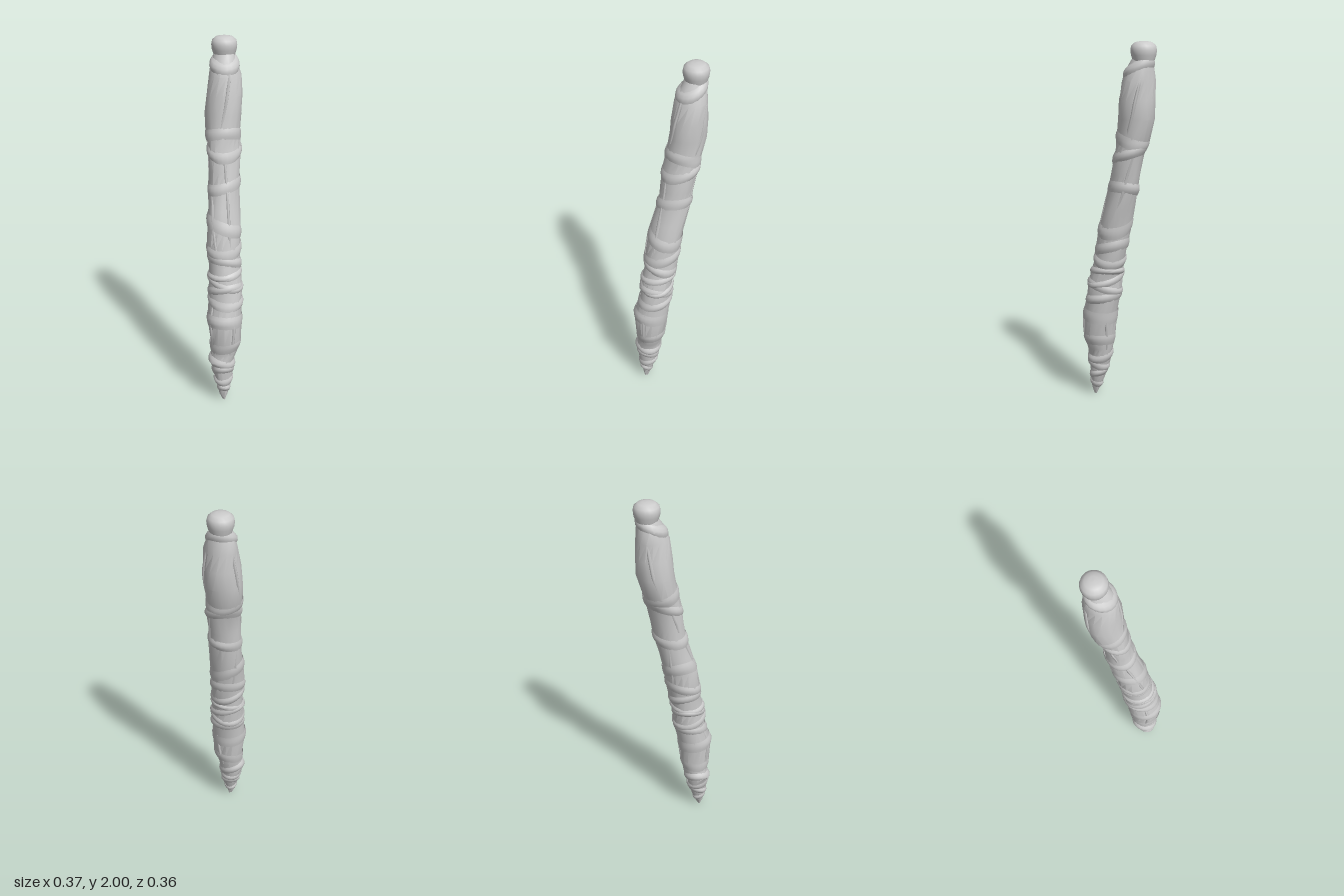
import * as THREE from 'three';
import { toCreasedNormals } from 'three/addons/utils/BufferGeometryUtils.js';

// Outline of the leaning body: [y, xMin, xMax, zMin, zMax]
const OUTLINE = [
  [0, 0.1, 0.118, 0.1, 0.12], [0.04, 0.08, 0.13, 0.085, 0.135], [0.1, 0.06, 0.14, 0.06, 0.148],
  [0.2, 0.025, 0.15, 0.037, 0.165], [0.24, 0.015, 0.15, 0.028, 0.178], [0.29, 0.012, 0.158, 0.018, 0.163],
  [0.36, 0, 0.182, 0, 0.168], [0.5, -0.013, 0.182, -0.015, 0.182], [0.6, -0.027, 0.165, -0.03, 0.15],
  [0.66, -0.035, 0.16, -0.036, 0.15], [0.73, -0.038, 0.15, -0.036, 0.142], [0.8, -0.043, 0.127, -0.052, 0.132],
  [0.9, -0.062, 0.117, -0.064, 0.13], [1, -0.076, 0.104, -0.075, 0.117], [1.1, -0.09, 0.083, -0.092, 0.094],
  [1.22, -0.108, 0.058, -0.113, 0.07], [1.3, -0.113, 0.047, -0.123, 0.06], [1.42, -0.132, 0.031, -0.146, 0.05],
  [1.49, -0.163, 0.022, -0.152, 0.042], [1.6, -0.185, 0.016, -0.175, 0.027], [1.7, -0.183, 0.014, -0.18, 0.016],
  [1.8, -0.18, 0, -0.178, 0], [1.86, -0.173, -0.022, -0.168, -0.02], [1.91, -0.16, -0.05, -0.16, -0.045],
];

// Point on the body at height y and angle a, pushed out by d
function bodyPoint(y, a, d = 0) {
  let i = 0;
  while (i < OUTLINE.length - 2 && y > OUTLINE[i + 1][0]) i++;
  const p = OUTLINE[i], q = OUTLINE[i + 1];
  const t = THREE.MathUtils.clamp((y - p[0]) / (q[0] - p[0]), 0, 1);
  const [, x0, x1, z0, z1] = p.map((v, k) => v + (q[k] - v) * t);
  return new THREE.Vector3(
    (x0 + x1) / 2 + ((x1 - x0) / 2 + d) * Math.cos(a), y,
    (z0 + z1) / 2 + ((z1 - z0) / 2 + d) * Math.sin(a));
}

// Skin between rings; point(row, angle) gives each vertex, rows running upward
function skin(rows, sides, point, closed, crease = 0.5) {
  const pos = [], index = [];
  for (let i = 0; i < rows; i++)
    for (let j = 0; j < sides; j++) pos.push(...point(i, (j / sides) * Math.PI * 2).toArray());
  for (let i = 0; i < rows - 1; i++)
    for (let j = 0; j < sides; j++) {
      const k = (j + 1) % sides;
      const a = i * sides + j, b = i * sides + k, c = a + sides, d = b + sides;
      index.push(a, c, b, b, c, d);
    }
  if (closed)
    for (let j = 1; j < sides - 1; j++) {
      const t = (rows - 1) * sides;
      index.push(0, j, j + 1, t, t + j + 1, t + j);
    }
  const g = new THREE.BufferGeometry();
  g.setAttribute('position', new THREE.Float32BufferAttribute(pos, 3));
  g.setIndex(index);
  return toCreasedNormals(g, crease);
}

export function createModel() {
  const group = new THREE.Group();
  const material = new THREE.MeshStandardMaterial({ color: 0xcccccc, side: THREE.DoubleSide });
  const add = (name, geometry) => {
    const mesh = new THREE.Mesh(geometry, material);
    mesh.name = name;
    group.add(mesh);
    return mesh;
  };

  // Wrapped body with slightly irregular facets
  add('body', skin(OUTLINE.length, 16, (i, a) =>
    bodyPoint(OUTLINE[i][0], a + 0.1 * Math.sin(i * 2.3), -0.003 + 0.003 * Math.sin(a * 3 + i * 1.7)), true));

  // Slanted folds around the body: [y, tilt, direction, half height, thickness]
  const folds = [
    [0.07, 0.012, 1, 0.018, 0.006], [0.13, 0.015, 4, 0.022, 0.007], [0.185, 0.02, 0.5, 0.022, 0.006],
    [0.24, 0.02, 2.5, 0.025, 0.007], [0.34, 0.012, 5, 0.03, 0.002], [0.49, 0.01, 1, 0.035, 0.002],
    [0.6, 0.015, 3.5, 0.025, 0.006], [0.66, 0.03, 0.3, 0.022, 0.006], [0.705, 0.03, 2.8, 0.02, 0.007],
    [0.75, 0.012, 5.2, 0.018, 0.007], [0.82, 0.025, 1.6, 0.025, 0.006], [0.89, 0.025, 4, 0.03, 0.005],
    [1.01, 0.035, 2.2, 0.035, 0.004], [1.22, 0.02, 5.5, 0.03, 0.005], [1.41, 0.03, 3.8, 0.03, 0.006],
    [1.48, 0.03, 0.6, 0.03, 0.004],
  ];
  for (const [y, tilt, dir, half, thick] of folds)
    add('wrapFold', skin(5, 24, (i, a) => {
      const t = i / 2 - 1;
      const level = y + tilt * Math.cos(a - dir) + t * half;
      return bodyPoint(level, a, thick * (1 - 1.6 * t * t) * (0.75 + 0.25 * Math.sin(a * 2 + dir)));
    }, false, 0.7));

  // Long creases running up the wrapping: [y from, y to, angle from, angle to]
  const creases = [
    [0.27, 0.58, 1.9, 1.7], [0.27, 0.57, 4.3, 4.6], [0.3, 0.58, 0.3, 0.1],
    [0.85, 1.2, 1.2, 1.7], [0.9, 1.4, 0.3, 0.7], [0.92, 1.2, 3.4, 2.9], [1.05, 1.4, 5.2, 4.7],
    [1.23, 1.45, 2, 2.4], [1.5, 1.86, 0.9, 0.4], [1.5, 1.85, 2.7, 3.1], [1.52, 1.84, 5.4, 4.8],
  ];
  for (const [y0, y1, a0, a1] of creases) {
    const points = [];
    for (let i = 0; i <= 6; i++) {
      const t = i / 6;
      points.push(bodyPoint(y0 + (y1 - y0) * t, a0 + (a1 - a0) * t, -0.006 - 0.006 * Math.abs(2 * t - 1)));
    }
    add('lengthwiseCrease', new THREE.TubeGeometry(new THREE.CatmullRomCurve3(points), 14, 0.009, 5));
  }

  // Twisted collar below the rounded end
  add('collar', skin(5, 20, (i, a) => {
    const t = i / 2 - 1;
    return bodyPoint(1.87 + 0.03 * Math.cos(a - 3.9) + t * 0.035, a, 0.007 * (1 - 2 * t * t));
  }, false, 0.7));

  // Rounded end: [radius, y]
  const cap = [[0.045, 1.86], [0.056, 1.9], [0.066, 1.93], [0.069, 1.955], [0.064, 1.978], [0.045, 1.994], [0.022, 1.999], [0, 2]];
  const end = add('roundedEnd', new THREE.LatheGeometry(cap.map(p => new THREE.Vector2(...p)), 20));
  end.position.set(-0.111, 0, -0.106);
  return group;
}
